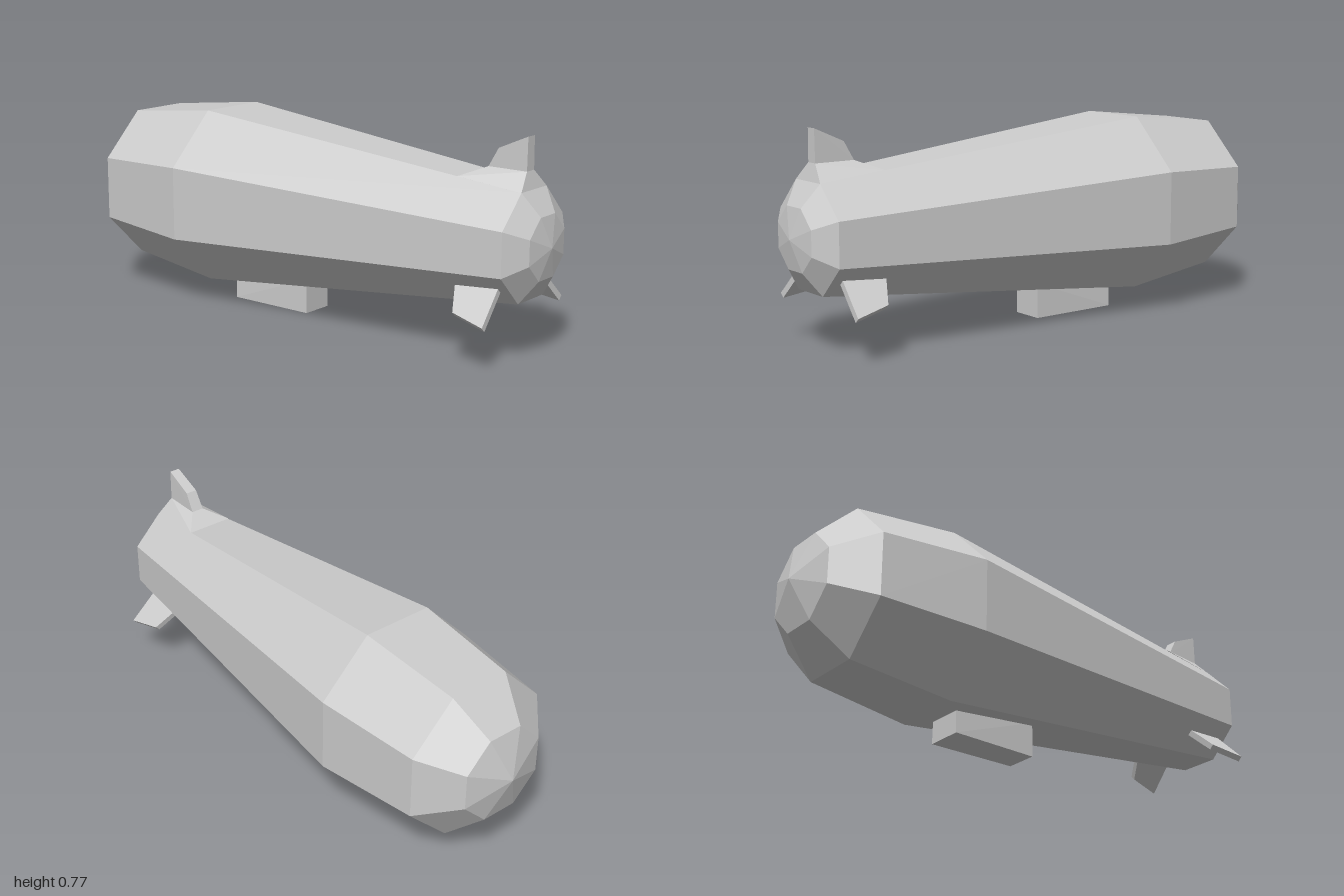
import * as THREE from 'three';
import { ConvexGeometry } from 'three/addons/geometries/ConvexGeometry.js';

const AXIS_Y = 0.402; // height of the hull's long axis

export function createModel() {
  const model = new THREE.Group();
  model.name = 'airship';
  const grey = new THREE.MeshStandardMaterial({ color: 0xcccccc, flatShading: true });

  const add = (name, geometry) => {
    const mesh = new THREE.Mesh(geometry, grey);
    mesh.name = name;
    model.add(mesh);
    return mesh;
  };
  // Convex solid from [halfWidth, y, z] corners mirrored across x
  const mirrored = (corners) => new ConvexGeometry(
    corners.flatMap(([w, y, z]) => [new THREE.Vector3(w, y, z), new THREE.Vector3(-w, y, z)]));

  // Octagonal hull: [apothem, z] from blunt nose to tapered tail
  const rings = [[0, -1], [0.163, -0.95], [0.284, -0.82], [0.327, -0.42],
    [0.188, 0.924], [0.108, 0.98], [0, 1]];
  const profile = rings.map(([a, z]) => new THREE.Vector2(a / Math.cos(Math.PI / 8), z));
  const hull = new THREE.LatheGeometry(profile, 8, Math.PI / 8);
  hull.rotateX(Math.PI / 2);
  add('hull', hull).position.y = AXIS_Y;

  // Raised saddle that blends the hull into the upper fin
  add('tailSaddle', mirrored([
    [0.09, 0.616, 0.68], [0.078, 0.59, 0.924],
    [0.024, 0.65, 0.76], [0.022, 0.65, 0.908],
  ]));

  // Upper fin
  add('upperFin', mirrored([
    [0.024, 0.65, 0.76], [0.022, 0.65, 0.908],
    [0.022, 0.716, 0.797], [0.02, 0.766, 0.908],
  ]));

  // Two lower fins, modelled pointing up from the axis and swung out to 45 degrees
  for (const [name, side] of [['lowerLeftFin', 1], ['lowerRightFin', -1]]) {
    const fin = add(name, mirrored([
      [0.011, 0.185, 0.715], [0.011, 0.185, 0.886],
      [0.011, 0.31, 0.765], [0.011, 0.343, 0.897],
    ]));
    fin.position.y = AXIS_Y;
    fin.rotation.z = -side * Math.PI * 0.75;
  }

  // Gondola, slightly wider towards the nose and set into the belly
  add('gondola', mirrored([
    [0.062, 0, 0], [0.062, 0.13, 0],
    [0.07, 0, -0.346], [0.066, 0.11, -0.346],
  ]));

  return model;
}
